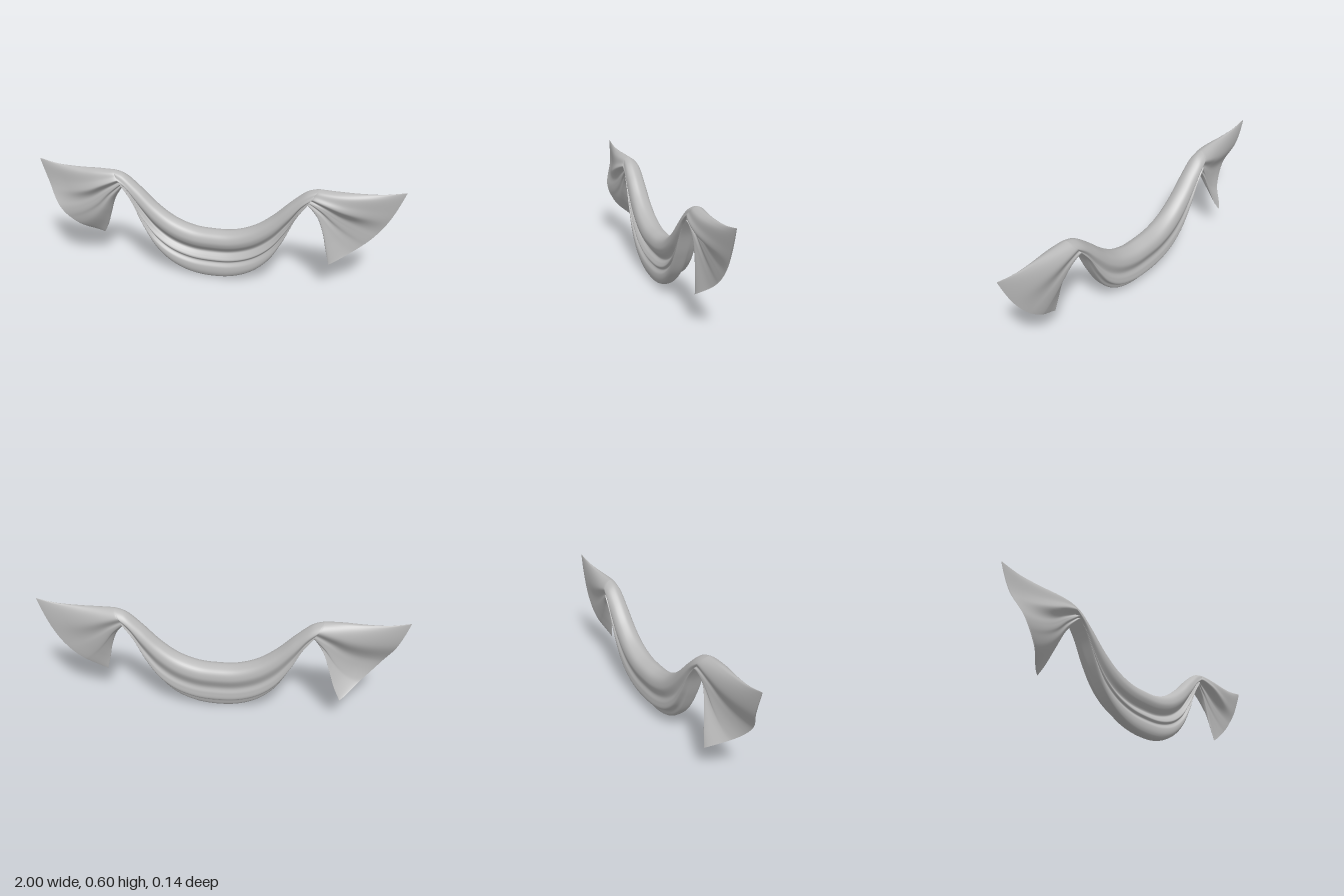
import * as THREE from 'three';

const LOOP = 128;
const GATHER = 2.2; // how strongly the lower folds crowd together at the gathers
const { lerp, clamp, smoothstep } = THREE.MathUtils;

// closed fold section: [position from top edge (0) to bottom edge (1), swag depth, gathered depth]
const FOLDS = [
  [0, 0.005, 0.008], [0.05, 0.042, 0.03], [0.2, 0.063, 0.042], [0.32, 0.055, 0.05],
  [0.45, 0.03, 0.03], [0.53, 0.046, 0.044], [0.6, 0.056, 0.046], [0.655, 0.046, 0.036],
  [0.75, 0.06, 0.045], [0.9, 0.06, 0.04], [0.98, 0.045, 0.025], [1, 0.02, 0],
  [0.96, 0, -0.01], [0.8, -0.02, -0.03], [0.75, -0.048, -0.042], [0.6, -0.052, -0.046],
  [0.47, -0.044, -0.036], [0.25, -0.064, -0.042], [0.06, -0.042, -0.018],
];
const section = new THREE.CatmullRomCurve3(
  FOLDS.map(([v, swag, gather]) => new THREE.Vector3(v, swag, gather)), true, 'centripetal');

const rail = (pts) => new THREE.SplineCurve(pts.map(([x, y]) => new THREE.Vector2(x, y)));

// mirrors the half rail of the swag, listed from the middle outwards
const mirrored = (half) => rail([...half.slice(1).reverse().map(([x, y]) => [-x, y]), ...half]);

// lofts the fold section between two rails; crowd(u) bunches the folds, depth(u, v, swag, gather) gives z
function loft(name, top, bottom, steps, crowd, depth, bulge, flip, material) {
  const pos = [], index = [];
  for (let i = 0; i <= steps; i++) {
    const u = i / steps;
    const a = top.getPoint(u), b = bottom.getPoint(u);
    for (let j = 0; j < LOOP; j++) {
      const f = section.getPoint(j / LOOP);
      const v = clamp(f.x, 0, 1);
      const p = a.clone().lerp(b, 1 - Math.pow(1 - v, crowd(u)));
      const out = Math.sin(Math.PI * v) * u * u;
      pos.push(p.x + bulge[0] * out, p.y + bulge[1] * out, depth(u, v, f.y, f.z));
    }
  }
  for (let i = 0; i < steps; i++) {
    for (let j = 0; j < LOOP; j++) {
      const k = (j + 1) % LOOP;
      const a = i * LOOP + j, b = i * LOOP + k, c = a + LOOP, d = b + LOOP;
      if (flip) index.push(a, c, b, b, c, d);
      else index.push(a, b, c, b, d, c);
    }
  }
  const geo = new THREE.BufferGeometry();
  geo.setAttribute('position', new THREE.Float32BufferAttribute(pos, 3));
  geo.setIndex(index);
  geo.computeVertexNormals();
  const mesh = new THREE.Mesh(geo, material);
  mesh.name = name;
  return mesh;
}

// tail: a full roll along the top, a thin sheet below, both fading into a wavy hem
function tail(name, top, bottom, hemWave, bulge, flip, material) {
  const hem = rail(hemWave.map((z, i) => [i, z]));
  const crowd = (u) => lerp(GATHER, 1, Math.sqrt(u));
  const depth = (u, v, swag, gather) => {
    const sheet = smoothstep(v, 0.3, 0.55);
    const fade = Math.pow(u, lerp(1.3, 0.6, sheet));
    const roll = 1 + (gather > 0 ? 0.75 : 0.2) * Math.sin(Math.PI * u) * (1 - sheet);
    return gather * roll * (1 - 0.92 * fade) + hem.getPoint(v).y * u;
  };
  return loft(name, rail(top), rail(bottom), 56, crowd, depth, bulge, flip, material);
}

export function createModel() {
  const group = new THREE.Group();
  group.name = 'drapedSwag';
  const cloth = new THREE.MeshStandardMaterial({ color: 0xb8b8b8, side: THREE.DoubleSide });
  cloth.name = 'grey cloth';

  // hanging middle
  const swagTop = mirrored([[0, 0.275], [0.11, 0.283], [0.22, 0.322], [0.32, 0.392], [0.42, 0.487], [0.5, 0.552], [0.56, 0.572]]);
  const swagBottom = mirrored([[0, 0.002], [0.12, 0.016], [0.23, 0.065], [0.32, 0.15], [0.39, 0.27], [0.45, 0.4], [0.508, 0.487]]);
  const spread = (u) => Math.pow(Math.max(0, Math.sin(Math.PI * u)), 0.8);
  group.add(loft('swag', swagTop, swagBottom, 110,
    (u) => lerp(GATHER, 1, spread(u)),
    (u, v, swag, gather) => lerp(gather, swag, spread(u)), [0, 0], false, cloth));

  // fanned ends
  group.add(tail('leftTail',
    [[0.56, 0.572], [0.66, 0.57], [0.77, 0.571], [0.89, 0.578], [1, 0.598]],
    [[0.508, 0.487], [0.562, 0.42], [0.595, 0.335], [0.615, 0.25], [0.638, 0.163]],
    [0.008, 0.004, 0, 0.01, 0.045], [0.046, -0.04], false, cloth));
  group.add(tail('rightTail',
    [[-0.56, 0.572], [-0.66, 0.574], [-0.77, 0.572], [-0.89, 0.577], [-1, 0.598]],
    [[-0.508, 0.487], [-0.568, 0.4], [-0.605, 0.3], [-0.635, 0.215], [-0.67, 0.145]],
    [0.003, 0.014, 0.055, 0.025, -0.07], [-0.042, -0.036], true, cloth));

  return group;
}
